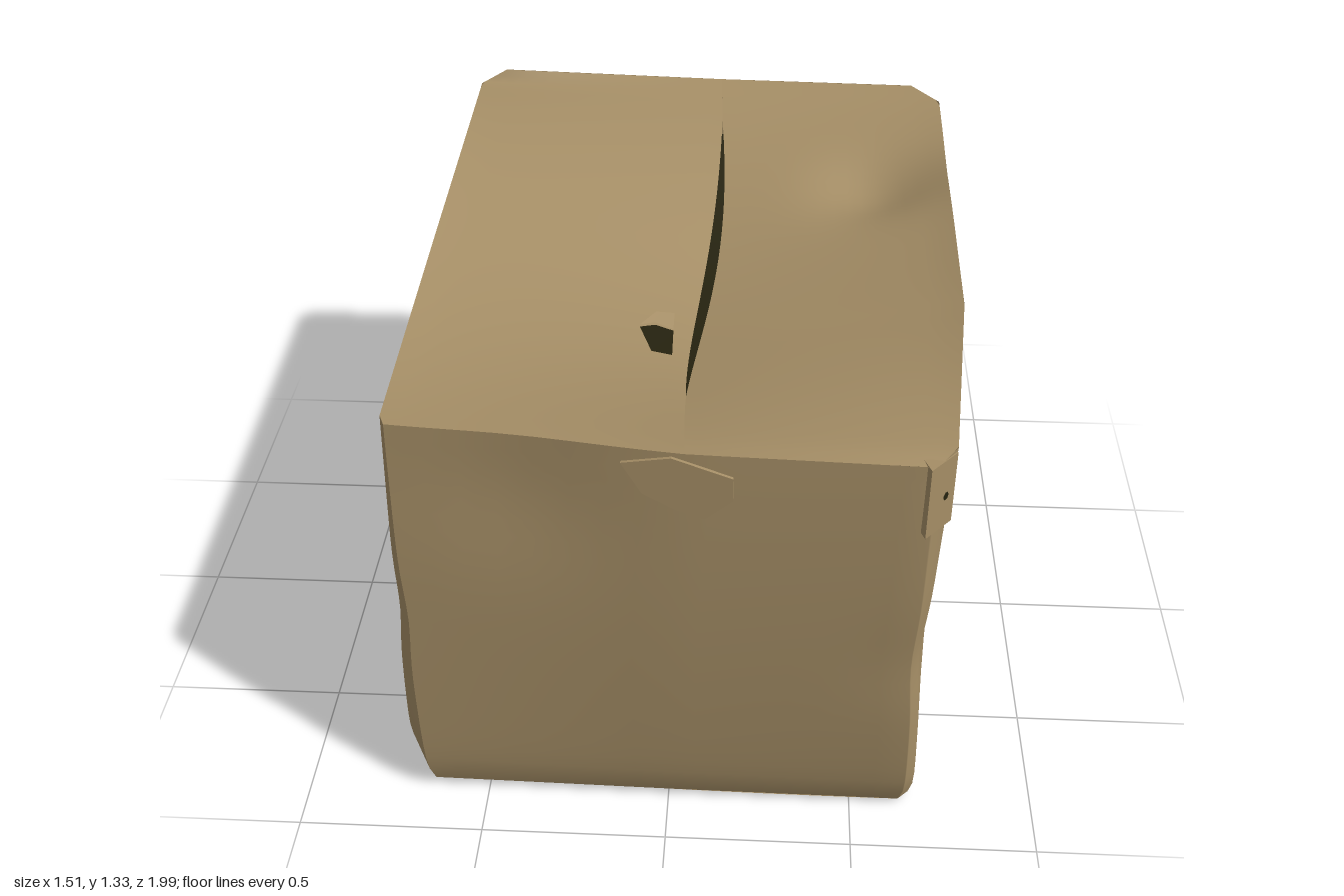
import * as THREE from 'three';

// Wall outline [x, z] seen from above: front left, front middle, front right, round to the left side
const TOP = [[-.665, .885], [.05, .965], [.63, .98], [.68, .92], [.742, .3], [.75, -.83], [.67, -.945], [.07, -.985],
  [-.62, -.99], [-.7, -.97], [-.69, 0], [-.68, .85]];
const MID = [[-.67, .89], [0, .94], [.63, .95], [.66, .89], [.735, .2], [.745, -.86], [.71, -.965], [.03, -.985],
  [-.68, -.975], [-.72, -.95], [-.745, .2], [-.7, .84]];
const LOW = [[-.665, .865], [0, .87], [.65, .865], [.68, .84], [.73, .1], [.73, -.88], [.71, -.98], [0, -.99],
  [-.68, -1], [-.72, -.97], [-.755, .3], [-.74, .72]];
const TOP_Y = [1.27, 1.27, 1.265, 1.28, 1.285, 1.325, 1.325, 1.315, 1.33, 1.29, 1.28, 1.27];
const LOW_Y = [.03, .025, .015, .02, .02, .01, 0, .015, .02, .02, .025, .03];

// Dents: centre, radius, push
const DENTS = [
  [[.55, 1.24, -.42], .16, [0, -.06, 0]],
  [[-.22, .12, -.98], .19, [0, .025, .07]],
  [[.66, .6, .9], .15, [-.012, 0, -.01]],
  [[-.67, .66, .88], .13, [.01, 0, 0]],
  [[-.35, 1.1, .92], .22, [0, 0, -.02]],
  [[.73, .3, .3], .3, [-.015, 0, 0]],
];

function warp(p) {
  const from = p.clone();
  for (const [c, r, push] of DENTS) {
    const d = from.distanceTo(new THREE.Vector3(...c)) / r;
    p.addScaledVector(new THREE.Vector3(...push), Math.exp(-d * d));
  }
  return p;
}

// Point of outline corner i at height fraction v
function corner(i, v) {
  i %= 12;
  const mix = k => LOW[i][k] * (1 - v) * (1 - 2 * v) + MID[i][k] * 4 * v * (1 - v) + TOP[i][k] * v * (2 * v - 1);
  const inset = 1 - .025 * Math.exp(-v * 25);
  return new THREE.Vector3(mix(0) * inset, THREE.MathUtils.lerp(LOW_Y[i], TOP_Y[i], v), mix(1) * inset);
}

// Curved sheet from a rule; its front faces along u cross v
function sheet(nu, nv, rule) {
  const g = new THREE.PlaneGeometry(1, 1, nu, nv);
  const { position: pos, uv } = g.attributes;
  for (let i = 0; i < pos.count; i++) {
    const p = rule(uv.getX(i), uv.getY(i));
    pos.setXYZ(i, p.x, p.y, p.z);
  }
  g.computeVertexNormals();
  return g;
}

// Centre line from front (t = 0) to back (t = 1); it sags on top and is tucked in below
function seam(t, v, side) {
  const p = corner(1, v).lerp(corner(7, v), t);
  const bow = Math.max(0, Math.sin(Math.PI * t));
  if (v === 1) {
    const gap = t > .18 && t < .9 ? Math.sin(Math.PI * (t - .18) / .72) : 0;
    p.x += side * .018 * gap + .02 * Math.sin(2 * Math.PI * (t - .5));
    p.y -= (side > 0 ? .185 : .215) * Math.pow(bow, 1.2) * (1.1 - .2 * t);
  } else p.y += (side > 0 ? .01 : .06) * Math.sqrt(bow);
  return p;
}

// Half of the lid or base, from the outer rim (s = 0) to the seam (s = 1)
function flapRule(side, v) {
  const first = side > 0 ? 1 : 7;
  const pts = [1, 2, 3, 4, 5].map(k => corner(first + k, v));
  const lengths = [0];
  for (let i = 1; i < 5; i++) lengths.push(lengths[i - 1] + pts[i].distanceTo(pts[i - 1]));
  const profile = v === 1 ? .85 : 2;
  return (u, s) => {
    const want = u * lengths[4];
    let k = 0;
    while (k < 3 && want > lengths[k + 1]) k++;
    const outer = pts[k].clone().lerp(pts[k + 1], (want - lengths[k]) / (lengths[k + 1] - lengths[k]));
    const inner = seam(side > 0 ? u : 1 - u, v, side);
    const p = outer.clone().lerp(inner, s);
    p.y = THREE.MathUtils.lerp(outer.y, inner.y, Math.pow(s, profile));
    return warp(p);
  };
}

export function createModel() {
  const group = new THREE.Group();
  const cardboard = new THREE.MeshStandardMaterial({ color: 0xa58e66, side: THREE.DoubleSide });
  cardboard.name = 'cardboard';
  const dark = new THREE.MeshStandardMaterial({ color: 0x25220f, side: THREE.DoubleSide });
  dark.name = 'dark interior';
  const add = (name, geometry, material = cardboard) => {
    const mesh = new THREE.Mesh(geometry, material);
    mesh.name = name;
    group.add(mesh);
    return mesh;
  };

  // Four walls with softened corners
  add('walls', sheet(96, 24, (u, v) => {
    const a = Math.min(u * 12, 11.9999), i = Math.floor(a);
    return warp(corner(i, v).lerp(corner(i + 1, v), u === 1 ? 1 : a - i));
  }));

  // Lid and base flaps
  for (const [side, label] of [[-1, 'right'], [1, 'left']]) {
    add(label + 'TopFlap', sheet(48, 16, flapRule(side, 1)));
    const base = flapRule(side, 0);
    add(label + 'BottomFlap', sheet(48, 12, (u, s) => base(1 - u, s)));
  }

  // Dark strip under the open seam
  add('seamGap', sheet(32, 1, (u, v) => {
    const p = seam(.18 + u * .7, 1, -1);
    p.x += .06 - v * .08;
    p.y -= .012;
    return p;
  }), dark);

  // Torn hole beside the seam with a lifted scrap
  const lid = flapRule(-1, 1);
  const hole = [[-.11, .2], [-.07, .17], [-.02, .18], [-.015, .33], [-.07, .33]];
  const lidY = (x, z) => {
    const u = (z + .98) / 1.9;
    const inner = lid(u, 1), outer = lid(u, 0);
    return lid(u, THREE.MathUtils.clamp((x - outer.x) / (inner.x - outer.x), 0, 1)).y;
  };
  const patch = (points, lift) => {
    const g = new THREE.ShapeGeometry(new THREE.Shape(points.map(([x, z]) => new THREE.Vector2(x, -z))));
    g.rotateX(-Math.PI / 2);
    const pos = g.attributes.position;
    for (let i = 0; i < pos.count; i++) pos.setY(i, lidY(pos.getX(i), pos.getZ(i)) + lift(pos.getZ(i)));
    g.computeVertexNormals();
    return g;
  };
  add('lidHole', patch(hole, () => .008), dark);
  add('lidScrap', patch([[-.11, .19], [-.07, .13], [-.02, .12], [-.02, .18], [-.07, .17]], z => .01 + (.19 - z) * .3));

  // Loose scrap lying against the front
  const scrap = new THREE.Shape([[-.1, 1.235], [-.05, 1.15], [.03, 1.11], [.1, 1.09], [.165, 1.15], [.165, 1.215],
    [.02, 1.26]].map(p => new THREE.Vector2(...p)));
  const scrapMesh = add('frontScrap', new THREE.ExtrudeGeometry(scrap, { depth: .008, bevelEnabled: false }));
  scrapMesh.position.set(0, 0, .96);
  scrapMesh.rotation.y = -.09;

  // Folded tab on the front corner
  const tab = new THREE.Shape([[.6, -.96], [.615, -1], [.68, -.925], [.66, -.9]].map(p => new THREE.Vector2(...p)));
  const tabMesh = add('cornerTab', new THREE.ExtrudeGeometry(tab, { depth: .2, bevelEnabled: false }));
  tabMesh.rotation.x = -Math.PI / 2;
  tabMesh.position.y = 1.07;

  // Small punctures in the side wall and the tab: position, size, turn
  for (const [at, w, h, turn] of [[[-.749, .38, -.71], .05, .03, -Math.PI / 2],
    [[-.75, .385, -.37], .012, .012, -Math.PI / 2], [[.658, 1.165, .955], .01, .012, .857]]) {
    const spot = add('puncture', new THREE.CircleGeometry(1, 7), dark);
    spot.scale.set(w, h, 1);
    spot.rotation.y = turn;
    spot.position.set(...at);
  }
  return group;
}
